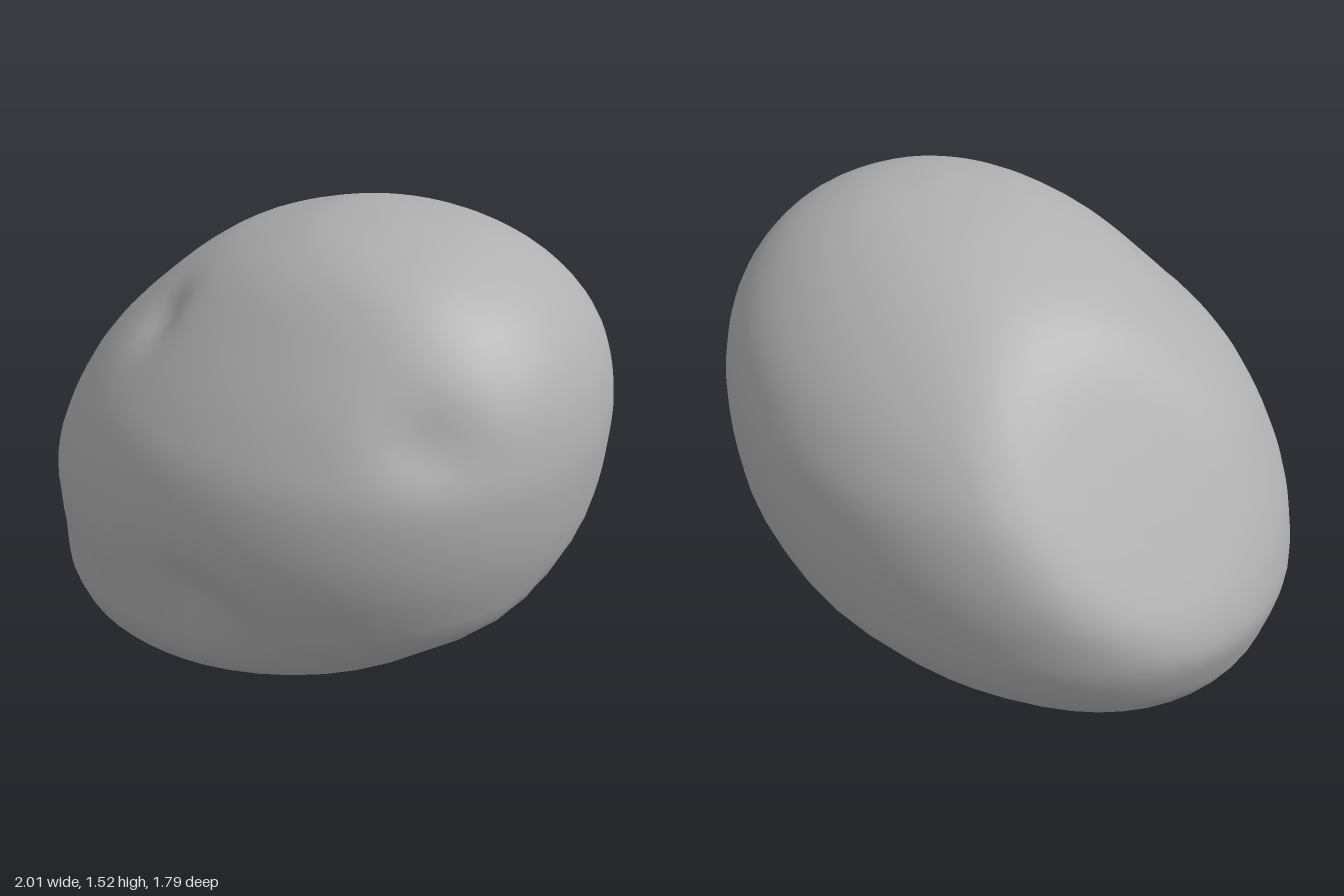
import * as THREE from 'three';
import { mergeVertices } from 'three/addons/utils/BufferGeometryUtils.js';

// Horizontal sections of the boulder: y, min x, max x, min z, max z
const SECTIONS = [
  [0.0, -0.25, -0.25, 0.0, 0.0],
  [0.01, -0.6, -0.05, -0.2, 0.35],
  [0.035, -0.83, 0.16, -0.42, 0.55],
  [0.08, -0.9, 0.4, -0.63, 0.68],
  [0.14, -0.94, 0.57, -0.71, 0.74],
  [0.22, -0.965, 0.69, -0.78, 0.79],
  [0.36, -1.0, 0.87, -0.85, 0.83],
  [0.5, -0.985, 0.93, -0.878, 0.87],
  [0.62, -0.955, 0.965, -0.888, 0.89],
  [0.75, -0.9, 0.988, -0.88, 0.89],
  [0.9, -0.815, 1.0, -0.848, 0.862],
  [1.02, -0.72, 0.99, -0.79, 0.805],
  [1.14, -0.595, 0.96, -0.705, 0.73],
  [1.26, -0.455, 0.895, -0.585, 0.635],
  [1.37, -0.29, 0.79, -0.44, 0.535],
  [1.45, -0.1, 0.65, -0.29, 0.43],
  [1.5, 0.06, 0.5, -0.13, 0.29],
  [1.525, 0.3, 0.3, 0.11, 0.11],
];

// Worn flat faces: outward normal and distance
const FACETS = [
  [new THREE.Vector3(0.52, -0.82, -0.23).normalize(), 0.07],
  [new THREE.Vector3(-0.68, 0.55, -0.48).normalize(), 1.1],
];
const FACET_BLEND = 0.06;

// Shallow chips: centre, radius, depth
const DENTS = [
  [new THREE.Vector3(-0.02, 0.49, 0.85), 0.2, 0.045],
  [new THREE.Vector3(-0.77, 0.38, 0.46), 0.17, 0.045],
  [new THREE.Vector3(0.66, 1.07, 0.61), 0.19, 0.045],
  [new THREE.Vector3(-0.35, 1.16, 0.4), 0.15, 0.045],
  [new THREE.Vector3(0.72, 0.38, -0.3), 0.19, 0.03],
];

// Smooth interpolation of one section column
function sample(t, column) {
  const last = SECTIONS.length - 1;
  const i = Math.min(Math.floor(t * last), last - 1);
  const f = t * last - i;
  const at = (k) => SECTIONS[Math.max(0, Math.min(last, k))][column];
  const [a, b, c, d] = [at(i - 1), at(i), at(i + 1), at(i + 2)];
  return b + 0.5 * f * (c - a + f * (2 * a - 5 * b + 4 * c - d + f * (3 * (b - c) + d - a)));
}

function boulderGeometry() {
  let geometry = new THREE.SphereGeometry(1, 56, 51);
  geometry.deleteAttribute('uv');
  geometry.deleteAttribute('normal');
  geometry = mergeVertices(geometry, 1e-5);
  const position = geometry.attributes.position;
  const p = new THREE.Vector3();
  const middle = new THREE.Vector3(0, 0.7, 0);
  for (let i = 0; i < position.count; i++) {
    p.fromBufferAttribute(position, i);
    const t = 1 - Math.acos(THREE.MathUtils.clamp(p.y, -1, 1)) / Math.PI;
    const angle = Math.atan2(p.z, p.x);
    const [y, x0, x1, z0, z1] = [0, 1, 2, 3, 4].map((c) => sample(t, c));

    // Skewed oval section, fuller on one diagonal
    const s = Math.sin(2 * angle);
    const skew = 1 + 0.05 * s + 0.02 * s * s;
    p.set(
      (x0 + x1) / 2 + ((x1 - x0) / 2) * Math.cos(angle) * skew,
      Math.max(0, y),
      (z0 + z1) / 2 + ((z1 - z0) / 2) * Math.sin(angle) * skew,
    );

    // Flatten the worn faces with a soft edge
    for (const [normal, distance] of FACETS) {
      const over = p.dot(normal) - distance;
      if (over > FACET_BLEND) p.addScaledVector(normal, -over);
      else if (over > -FACET_BLEND) p.addScaledVector(normal, -((over + FACET_BLEND) ** 2) / (4 * FACET_BLEND));
    }

    // Press in the chips
    for (const [centre, radius, depth] of DENTS) {
      const d = p.distanceTo(centre) / radius;
      const inward = middle.clone().sub(p).normalize();
      p.addScaledVector(inward, depth * Math.exp(-2.5 * d * d));
    }
    position.setXYZ(i, p.x, Math.max(0, p.y), p.z);
  }
  geometry.computeVertexNormals();
  return geometry;
}

export function createModel() {
  const group = new THREE.Group();
  group.name = 'rock';
  const stone = new THREE.MeshStandardMaterial({ color: 0xb0b0b0 });
  stone.name = 'grey stone';
  const boulder = new THREE.Mesh(boulderGeometry(), stone);
  boulder.name = 'boulder';
  group.add(boulder);
  return group;
}
